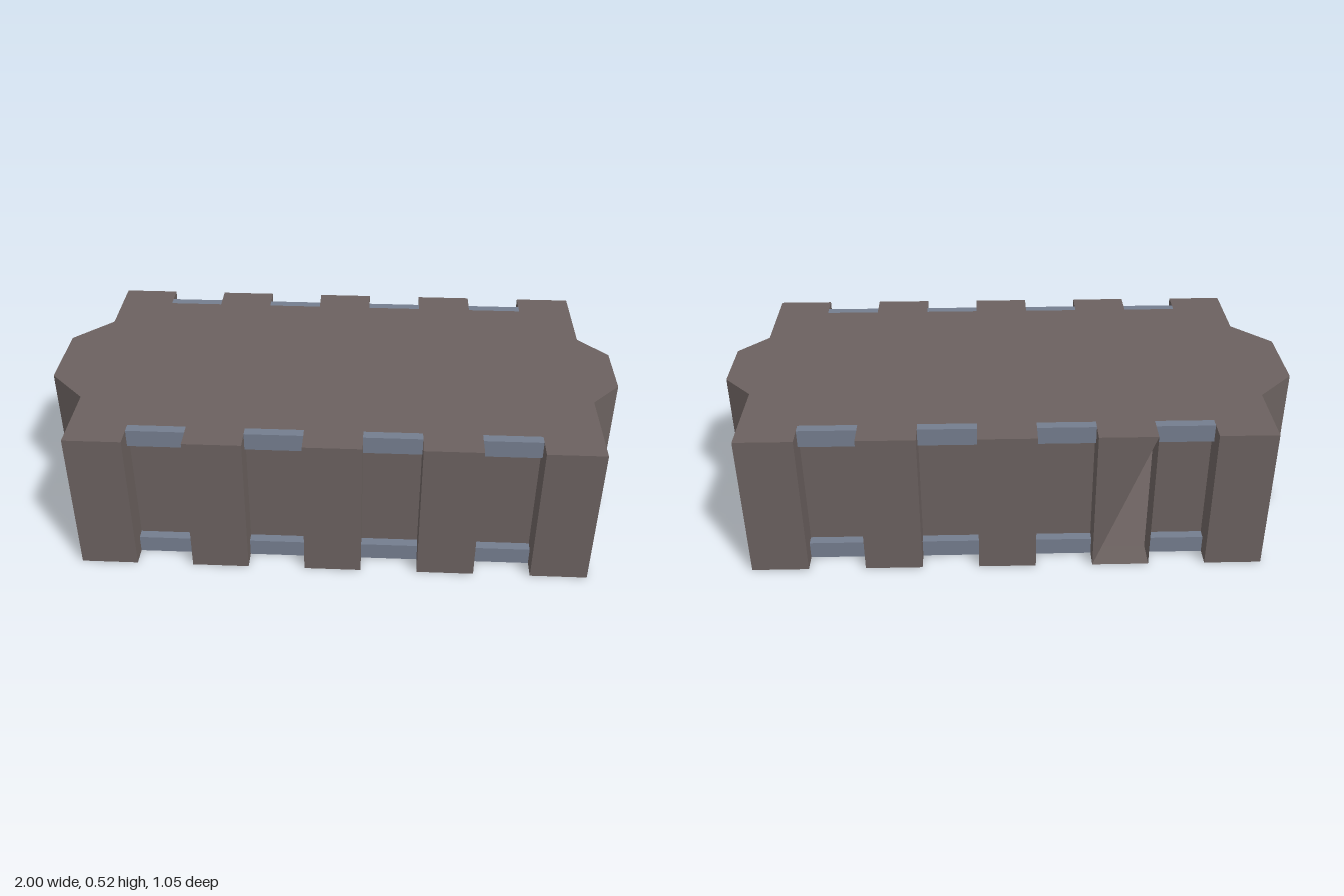
import * as THREE from 'three';

const H = 0.524;               // height
const FACE = 0.524;            // z of the rib faces
const RECESS = 0.425;          // z of the recessed panels
const X0 = -0.87, P = 0.1967;  // first rib edge, rib and recess width

const hull = new THREE.MeshStandardMaterial({ color: 0x6b615f, side: THREE.DoubleSide, flatShading: true });
hull.name = 'warmGrey';
const trim = new THREE.MeshStandardMaterial({ color: 0x747d8e, flatShading: true });
trim.name = 'slateBlue';

// Plan outline, counter-clockwise seen from above, as [x, -z]
function planOutline() {
  const front = [];
  for (let i = 0; i < 5; i++) {
    const x = X0 + 2 * i * P;
    front.push([x, -FACE], [x + P, -FACE]);
    if (i < 4) front.push([x + P, -RECESS], [x + 2 * P, -RECESS]);
  }
  const back = front.map(([x, y]) => [x, -y]).reverse();
  const xe = X0 + 9 * P;
  return [
    ...front, [xe, -0.213], [1, -0.107], [1, 0.107], [xe, 0.213],
    ...back, [X0, 0.265], [-1, 0.133], [-1, -0.133], [X0, -0.265],
  ];
}

// Upright wall panels; those listed in half keep only their upper triangle
function wallGeometry(points, half) {
  const pos = [];
  points.forEach(([ax, ay], i) => {
    const [bx, by] = points[(i + 1) % points.length];
    const a0 = [ax, 0, -ay], b0 = [bx, 0, -by], a1 = [ax, H, -ay], b1 = [bx, H, -by];
    pos.push(...a0, ...b1, ...a1);
    if (!half.includes(i)) pos.push(...a0, ...b0, ...b1);
  });
  const g = new THREE.BufferGeometry();
  g.setAttribute('position', new THREE.Float32BufferAttribute(pos, 3));
  g.computeVertexNormals();
  return g;
}

export function createModel() {
  const model = new THREE.Group();
  model.name = 'ribbedContainer';
  const add = (name, geometry, material, x = 0, y = 0, z = 0) => {
    const mesh = new THREE.Mesh(geometry, material);
    mesh.name = name;
    mesh.position.set(x, y, z);
    model.add(mesh);
    return mesh;
  };

  // Hollow shell: open panels on one end bevel (20) and one back rib (34)
  const outline = planOutline();
  add('walls', wallGeometry(outline, [20, 34]), hull);
  const shape = new THREE.Shape(outline.map(([x, y]) => new THREE.Vector2(x, y)));
  add('roof', new THREE.ShapeGeometry(shape).rotateX(-Math.PI / 2), hull, 0, H);
  const floor = new THREE.ShapeGeometry(shape).rotateX(Math.PI / 2).scale(1, 1, 1);
  add('floor', floor, hull);

  // Rails along the top and bottom of each recess
  const railH = 0.062, railD = 0.034;
  const rail = new THREE.BoxGeometry(P, railH, railD);
  for (let i = 0; i < 4; i++) {
    const x = X0 + (2 * i + 1.5) * P;
    for (const s of [1, -1]) {
      const z = s * (RECESS + railD / 2);
      add('upperRail', rail, trim, x, H - railH / 2, z);
      add('lowerRail', rail, trim, x, railH / 2, z);
    }
  }
  return model;
}
